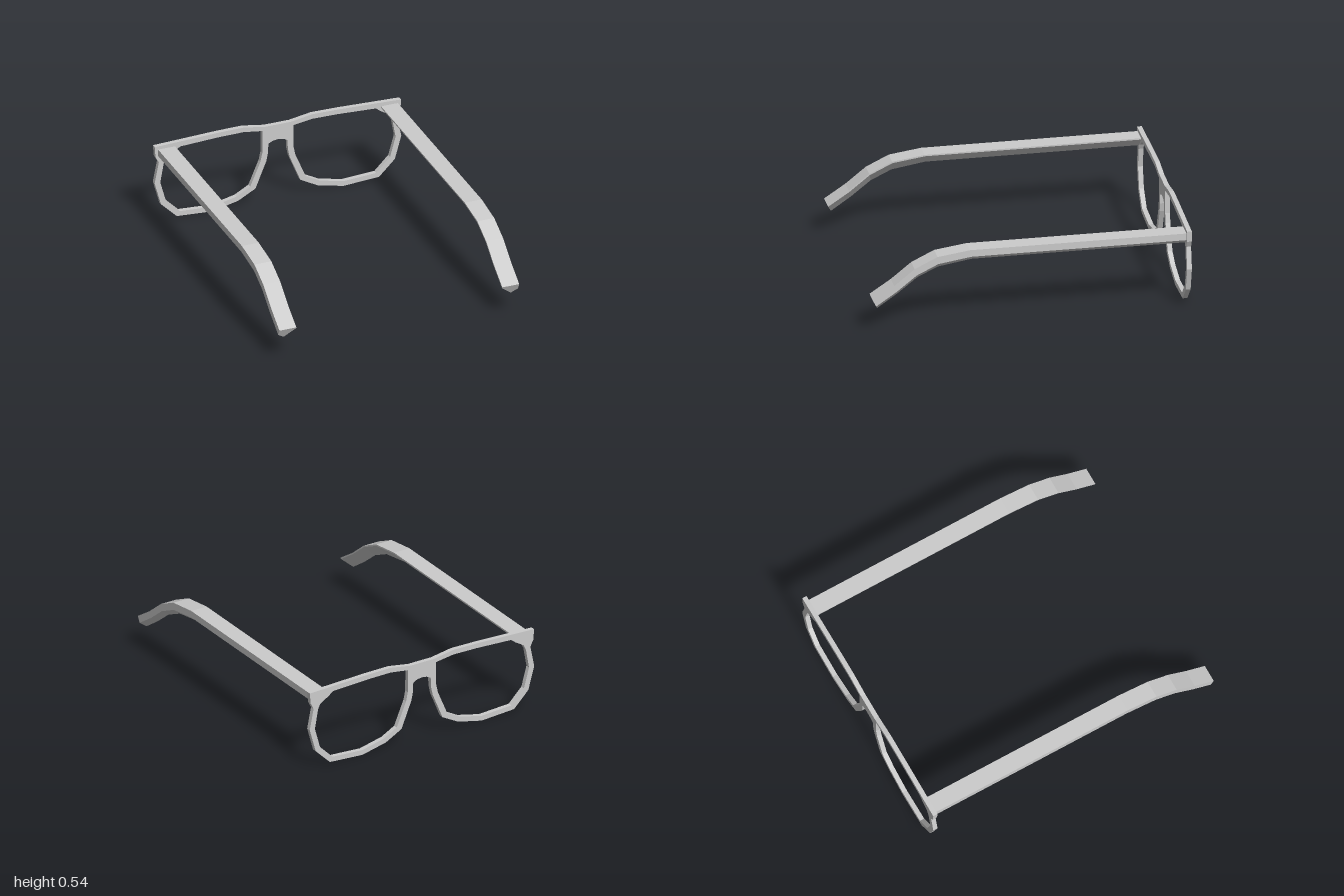
import * as THREE from 'three';

const material = new THREE.MeshStandardMaterial({ color: 0xcccccc, flatShading: true, side: THREE.DoubleSide });

const mirrored = (points) => points.map(([x, y]) => [-x, y]).reverse();
const toVectors = (points) => points.map(([x, y]) => new THREE.Vector2(x, y));

// Front frame: half outline from top centre, around the lens, to the bridge arch
const halfOutline = [
  [0.085, 0.523], [0.23, 0.547], [0.4, 0.545], [0.822, 0.53], [0.817, 0.46],
  [0.795, 0.417], [0.823, 0.276], [0.78, 0.122], [0.675, 0.018], [0.437, 0.003],
  [0.265, 0.042], [0.15, 0.104], [0.078, 0.28], [0.066, 0.338], [0.064, 0.4],
  [0.035, 0.415], [0, 0.42],
];
const lensOpening = [
  [0.103, 0.497], [0.23, 0.515], [0.4, 0.513], [0.653, 0.501], [0.685, 0.476],
  [0.745, 0.44], [0.762, 0.405], [0.785, 0.276], [0.748, 0.142], [0.655, 0.049],
  [0.437, 0.036], [0.278, 0.073], [0.185, 0.124], [0.117, 0.285], [0.104, 0.345],
];

function frameGeometry() {
  const shape = new THREE.Shape(toVectors([...halfOutline, ...mirrored(halfOutline).slice(1)]));
  for (const hole of [lensOpening, mirrored(lensOpening)]) shape.holes.push(new THREE.Path(toVectors(hole)));
  const geometry = new THREE.ExtrudeGeometry(shape, { depth: 0.03, bevelEnabled: false });
  return geometry.translate(0, 0, -1);
}

// Temple arm: section as [x, fraction from top edge to bottom edge]
const armSection = [[0.687, 0], [0.687, 0.12], [0.758, 1], [0.8, 0.58], [0.8, 0]];
// Stations along the arm: top z, top y, bottom z, bottom y
const armStations = [
  [-0.97, 0.509, -0.97, 0.432],
  [0.39, 0.509, 0.374, 0.432],
  [0.594, 0.48, 0.586, 0.397],
  [0.738, 0.41, 0.715, 0.335],
  [0.866, 0.307, 0.84, 0.236],
  [1, 0.218, 0.965, 0.15],
];

function armGeometry(side) {
  const section = side > 0 ? armSection : mirrored(armSection);
  const n = section.length;
  const positions = [];
  for (const [tz, ty, bz, by] of armStations) {
    for (const [x, t] of section) positions.push(x, ty + (by - ty) * t, tz + (bz - tz) * t);
  }
  const index = [];
  const last = (armStations.length - 1) * n;
  for (let i = 0; i < last; i += n) {
    for (let j = 0; j < n; j++) {
      const a = i + j, b = i + (j + 1) % n;
      index.push(a, b, b + n, a, b + n, a + n);
    }
  }
  // End caps
  for (let j = 1; j < n - 1; j++) index.push(0, j + 1, j, last, last + j, last + j + 1);

  const indexed = new THREE.BufferGeometry();
  indexed.setAttribute('position', new THREE.Float32BufferAttribute(positions, 3));
  indexed.setIndex(index);
  const geometry = indexed.toNonIndexed();
  geometry.computeVertexNormals();
  return geometry;
}

export function createModel() {
  const glasses = new THREE.Group();
  glasses.name = 'glasses';
  const add = (name, geometry) => {
    const mesh = new THREE.Mesh(geometry, material);
    mesh.name = name;
    glasses.add(mesh);
  };
  add('lensFrame', frameGeometry());
  add('leftArm', armGeometry(1));
  add('rightArm', armGeometry(-1));
  return glasses;
}
